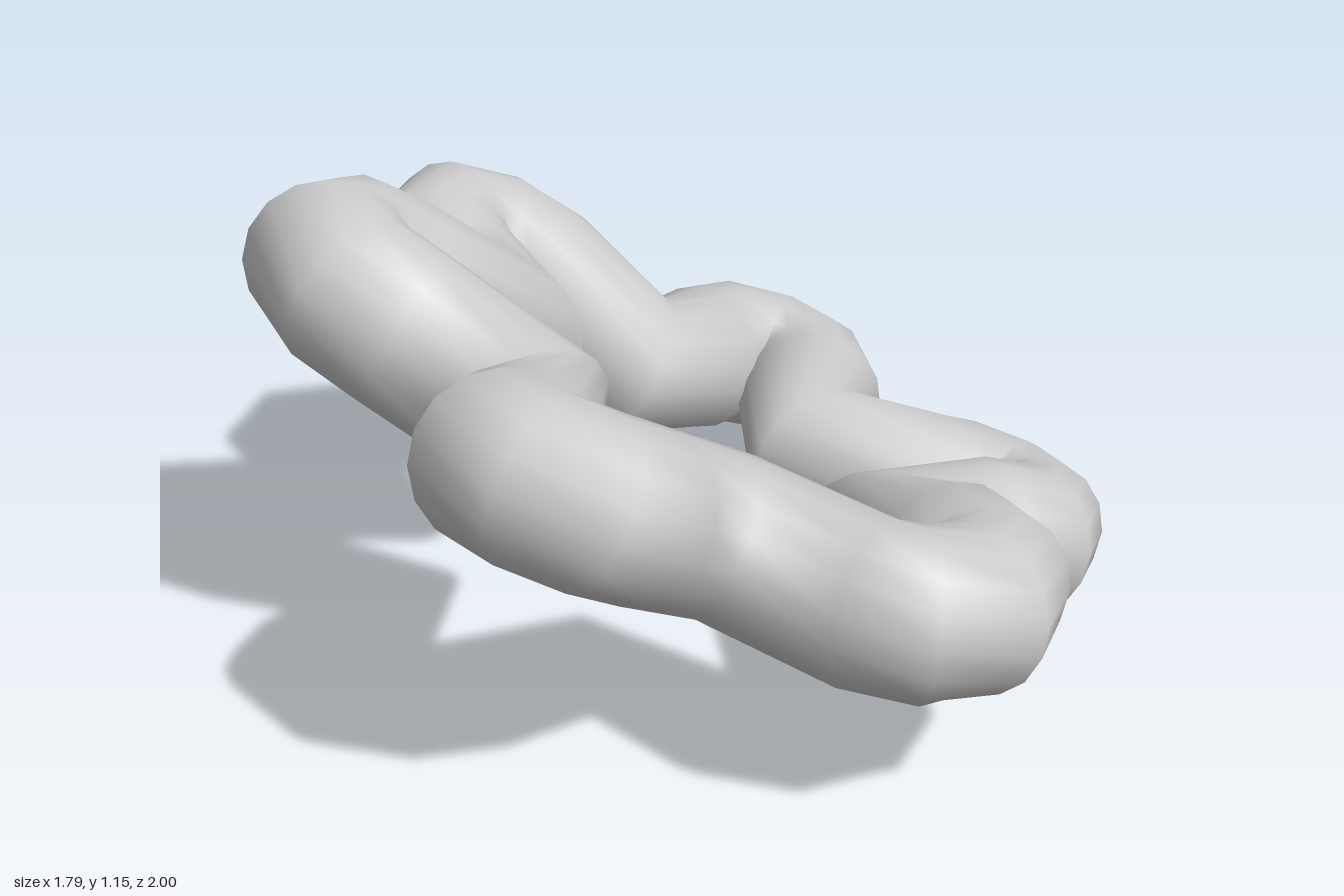
import * as THREE from 'three';

const TUBE = 0.18, BEND = 0.148, SIDES = 16, ARC_STEPS = 4;
const up = new THREE.Vector3(0.42, 1, -0.32).normalize();

// Each lobe: centre of its bend, outward direction (x, z), rise outward,
// rise sideways, and the inner corner that follows it
const lobes = [
  { c: [-0.05, 0.31, -0.67], d: [0, -1], out: -0.13, across: -0.27, corner: [0.175, 0.29, -0.355] },
  { c: [0.573, 0.235, -0.285], d: [0.93, -0.37], out: -0.36, across: 0.19, corner: [0.425, 0.305, 0.06] },
  { c: [0.58, 0.47, 0.43], d: [0.91, 0.42], out: 0.03, across: 0.17, corner: [0.19, 0.52, 0.44] },
  { c: [-0.05, 0.735, 0.682], d: [-0.17, 0.98], out: 0.6, across: 0.2, corner: [-0.25, 0.685, 0.355] },
  { c: [-0.59, 0.86, 0.24], d: [-0.91, 0.41], out: 0.72, across: -0.07, corner: [-0.46, 0.66, -0.03] },
  { c: [-0.595, 0.66, -0.335], d: [-0.94, -0.33], out: 0.52, across: -0.26, corner: [-0.27, 0.465, -0.36] },
];

// Closed centre line: a rounded bend per lobe, then a sharp inner corner
function centreLine() {
  const points = [];
  for (const { c, d, out, across, corner } of lobes) {
    const centre = new THREE.Vector3(...c);
    const outward = new THREE.Vector3(d[0], out, d[1]);
    const sideways = new THREE.Vector3(-d[1], across, d[0]);
    for (let k = 0; k <= ARC_STEPS; k++) {
      const a = -Math.PI / 2 + (Math.PI * k) / ARC_STEPS;
      points.push(centre.clone()
        .addScaledVector(outward, BEND * Math.cos(a))
        .addScaledVector(sideways, BEND * Math.sin(a)));
    }
    points.push(new THREE.Vector3(...corner));
  }
  return points;
}

// Sweep a circle along the closed line, one ring per point
function sweepClosed(points) {
  const n = points.length, positions = [], index = [];
  points.forEach((p, i) => {
    const before = p.clone().sub(points[(i + n - 1) % n]).normalize();
    const after = points[(i + 1) % n].clone().sub(p).normalize();
    const tangent = before.add(after).normalize();
    const side = tangent.clone().cross(up).normalize();
    const top = side.clone().cross(tangent);
    for (let j = 0; j < SIDES; j++) {
      const a = (2 * Math.PI * j) / SIDES;
      const v = p.clone()
        .addScaledVector(side, TUBE * Math.cos(a))
        .addScaledVector(top, TUBE * Math.sin(a));
      positions.push(v.x, v.y, v.z);
      const i2 = (i + 1) % n, j2 = (j + 1) % SIDES;
      const q = [i * SIDES + j, i2 * SIDES + j, i2 * SIDES + j2, i * SIDES + j2];
      index.push(q[0], q[1], q[3], q[1], q[2], q[3]);
    }
  });
  const geometry = new THREE.BufferGeometry();
  geometry.setAttribute('position', new THREE.Float32BufferAttribute(positions, 3));
  geometry.setIndex(index);
  geometry.computeVertexNormals();
  return geometry;
}

export function createModel() {
  const group = new THREE.Group();
  group.name = 'lobedRing';
  const geometry = sweepClosed(centreLine());

  // Centre over the origin and stand on the ground
  geometry.computeBoundingBox();
  const { min, max } = geometry.boundingBox;
  geometry.translate(-(min.x + max.x) / 2, -min.y, -(min.z + max.z) / 2);

  const tube = new THREE.Mesh(
    geometry,
    new THREE.MeshStandardMaterial({ color: 0xcccccc, side: THREE.DoubleSide })
  );
  tube.name = 'sixLobedTube';
  group.add(tube);
  return group;
}
